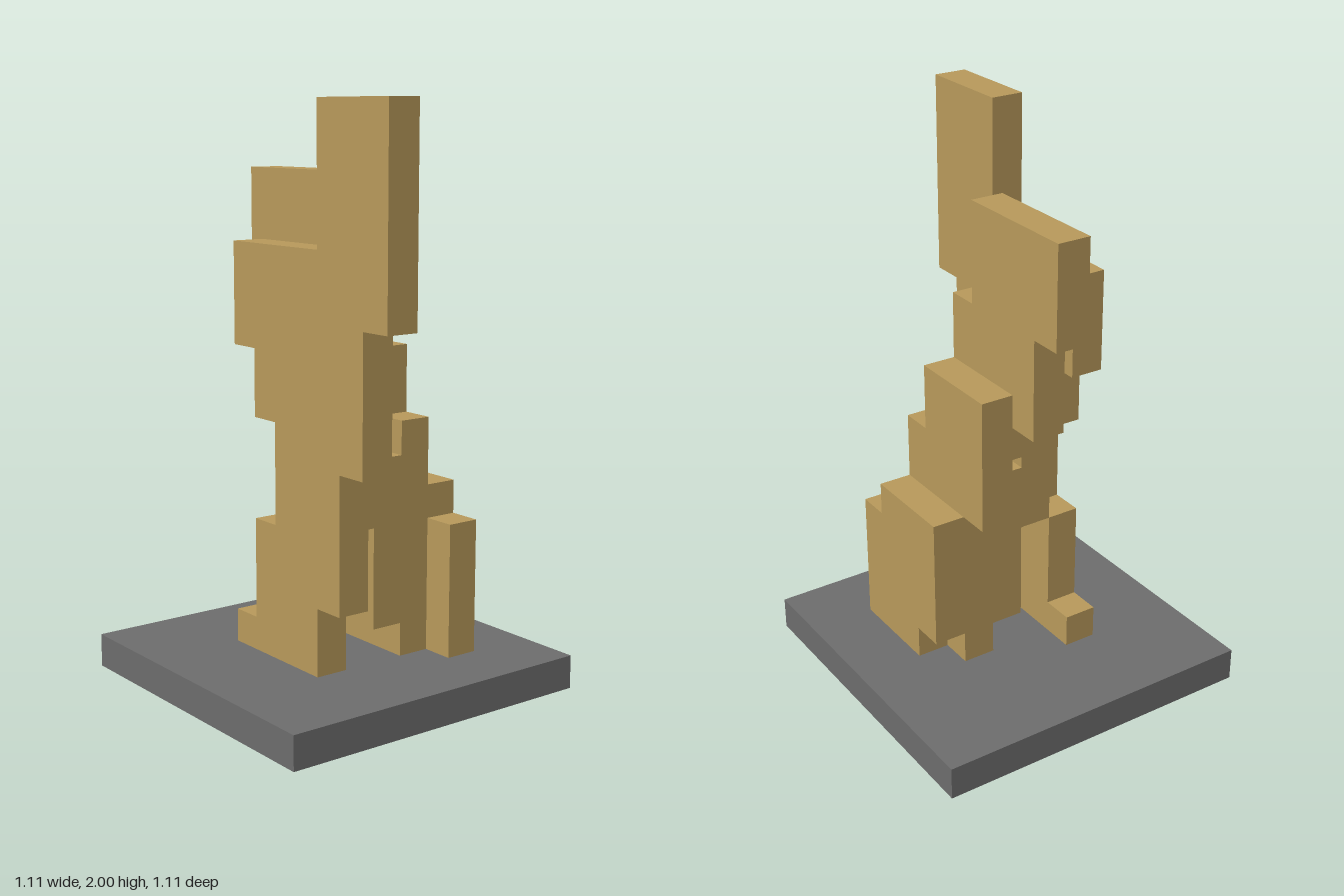
import * as THREE from 'three';

const U = 1 / 9; // grid unit: the sculpture is 18 units tall

// Each slab is one unit thick. Rows run bottom to top: [yStart, xLeft, xRight].
const SLABS = [
  { name: 'frontSlab', z: 1, top: 18, rows: [
    [0, -2, 2], [3, -1, 2], [4, -1, 3], [6, 0, 3], [8, 0, 4],
    [9, -1, 4], [11, -2, 4], [12, -2, 5], [14, 2, 5]] },
  { name: 'linkSlab', z: 0, top: 11, rows: [[6, -1, 2]] },
  { name: 'middleUpperSlab', z: -1, top: 16, rows: [[9, -2, 1], [10, -3, 1], [13, -4, 0]] },
  { name: 'middleLowerSlab', z: -1, top: 8, rows: [[3, -1, 2]] },
  { name: 'rearSlab', z: -2, top: 11, rows: [[0, -1, 2], [7, -2, 2], [9, -2, 1]] },
  { name: 'backSlab', z: -3, top: 7, rows: [[0, 0, 3], [3, -1, 3], [6, -1, 2]] },
];

// Stepped outline: up the right edges, then down the left edges
function steppedShape(rows, top) {
  const right = [], left = [];
  rows.forEach(([y0, x0, x1], i) => {
    const y1 = i + 1 < rows.length ? rows[i + 1][0] : top;
    for (const y of [y0, y1]) {
      right.push([x1, y]);
      left.unshift([x0, y]);
    }
  });
  const points = [...right, ...left].filter(
    (p, i, a) => i === 0 || p[0] !== a[i - 1][0] || p[1] !== a[i - 1][1]);
  return new THREE.Shape(points.map(([x, y]) => new THREE.Vector2(x * U, y * U)));
}

export function createModel() {
  const group = new THREE.Group();
  group.name = 'steppedSculpture';

  const wood = new THREE.MeshStandardMaterial({ color: 0xb6985a });
  wood.name = 'wood';
  const grey = new THREE.MeshStandardMaterial({ color: 0x6c6c6c });
  grey.name = 'darkGrey';

  // Upright slabs, passing through the base
  for (const { name, z, top, rows } of SLABS) {
    const geometry = new THREE.ExtrudeGeometry(steppedShape(rows, top), { depth: U, bevelEnabled: false });
    const slab = new THREE.Mesh(geometry, wood);
    slab.name = name;
    slab.position.z = z * U;
    group.add(slab);
  }

  // Square base plate
  const base = new THREE.Mesh(new THREE.BoxGeometry(10 * U, U, 10 * U), grey);
  base.name = 'base';
  base.position.y = 1.5 * U;
  group.add(base);

  return group;
}
